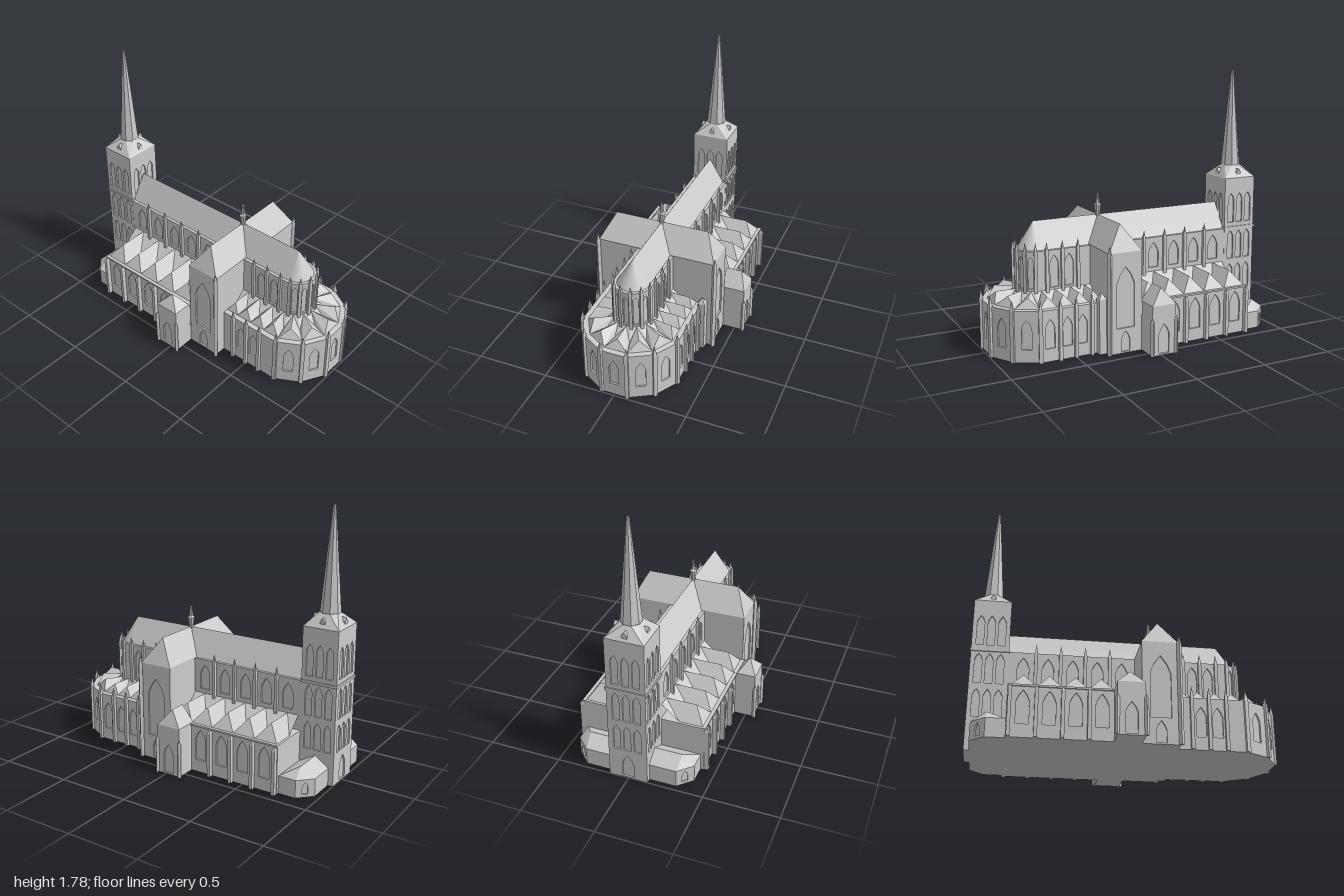
import * as THREE from 'three';

const flat = new THREE.MeshStandardMaterial({ color: 0xcccccc, flatShading: true, side: THREE.DoubleSide });
const smooth = new THREE.MeshStandardMaterial({ color: 0xcccccc, side: THREE.DoubleSide });
const RECESS = 0.012;
const both = [1, -1];

function add(parent, name, geo, x = 0, y = 0, z = 0, ry = 0, mat = flat) {
  const m = new THREE.Mesh(geo, mat);
  m.name = name;
  m.position.set(x, y, z);
  m.rotation.y = ry;
  parent.add(m);
  return m;
}

function group(parent, name) {
  const g = new THREE.Group();
  g.name = name;
  parent.add(g);
  return g;
}

// Roof faces from polygons of [x, y, z], all turned to look upward
function roof(parent, name, polys) {
  const pos = [];
  for (const p of polys) {
    for (let i = 1; i < p.length - 1; i++) {
      const [a, b, c] = [p[0], p[i], p[i + 1]];
      const ny = (b[2] - a[2]) * (c[0] - a[0]) - (b[0] - a[0]) * (c[2] - a[2]);
      pos.push(...a, ...(ny > 0 ? [...b, ...c] : [...c, ...b]));
    }
  }
  const g = new THREE.BufferGeometry();
  g.setAttribute('position', new THREE.Float32BufferAttribute(pos, 3));
  g.computeVertexNormals();
  return add(parent, name, g);
}

// Pointed window outline
function lancet(u, w, y0, y1) {
  const p = new THREE.Path(), h = w / 2, spring = y1 - w * 0.9;
  p.moveTo(u - h, y0);
  p.lineTo(u - h, spring);
  p.lineTo(u - h * 0.62, spring + w * 0.48);
  p.lineTo(u, y1);
  p.lineTo(u + h * 0.62, spring + w * 0.48);
  p.lineTo(u + h, spring);
  p.lineTo(u + h, y0);
  p.closePath();
  return p;
}

// Closed ring of walls; each window [x, z, width, y0, y1] is cut into the wall it lies on
function building(parent, name, pts, y0, y1, windows = []) {
  const g = group(parent, name);
  pts.forEach(([ax, az], i) => {
    const [bx, bz] = pts[(i + 1) % pts.length];
    const len = Math.hypot(bx - ax, bz - az), dx = (bx - ax) / len, dz = (bz - az) / len;
    const s = new THREE.Shape([[0, y0], [len, y0], [len, y1], [0, y1]].map(p => new THREE.Vector2(...p)));
    for (const [x, z, w, lo, hi] of windows) {
      const u = (x - ax) * dx + (z - az) * dz, off = (x - ax) * -dz + (z - az) * dx;
      if (Math.abs(off) < 0.01 && u > w / 2 && u < len - w / 2) s.holes.push(lancet(u, w, lo, hi));
    }
    const ry = Math.atan2(-dz, dx);
    const wall = add(g, 'wall', new THREE.ExtrudeGeometry(s, { depth: RECESS, bevelEnabled: false }), ax, 0, az, ry);
    wall.translateZ(-RECESS);
    const pane = add(g, 'windowPanes', new THREE.PlaneGeometry(len, y1 - y0), ax, 0, az, ry);
    pane.translateX(len / 2).translateY((y0 + y1) / 2).translateZ(-RECESS + 0.001);
  });
  const cap = new THREE.ShapeGeometry(new THREE.Shape(pts.map(([x, z]) => new THREE.Vector2(x, -z)))).rotateX(-Math.PI / 2);
  add(g, 'wallTop', cap, 0, y1);
  add(g, 'floor', cap, 0, y0);
  return g;
}

const rect = (x0, x1, z) => [[x0, z], [x1, z], [x1, -z], [x0, -z]];

// Square shaft with a pointed cap
function pinnacle(parent, name, x, z, y0, y1, size, ry = 0, depth = size, tip = 0.07) {
  const g = group(parent, name), h = y1 - tip - y0;
  add(g, 'shaft', new THREE.BoxGeometry(size, h, depth), 0, h / 2);
  const cone = add(g, 'cap', new THREE.ConeGeometry(Math.SQRT1_2, tip, 4).rotateY(Math.PI / 4), 0, h + tip / 2);
  cone.scale.set(size, 1, depth);
  g.position.set(x, y0, z);
  g.rotation.y = ry;
}

// One hipped bay between outer corners o and inner corners i, with a saddle against the inner wall
function bayRoof(parent, name, o0, o1, i0, i1, y, h, hip) {
  const mix = (a, b, t) => [a[0] + (b[0] - a[0]) * t, a[1] + (b[1] - a[1]) * t];
  const at = (p, k) => [p[0], y + h * k, p[1]];
  const back = mix(i0, i1, 0.5), front = mix(mix(o0, o1, 0.5), back, hip);
  const polys = [[at(o0, 0), at(o1, 0), at(front, 1)]];
  for (const [o, i] of [[o0, i0], [o1, i1]]) {
    const valley = at(mix(i, o, 0.42), 0);
    polys.push([at(o, 0), at(front, 1), at(back, 1), valley], [valley, at(back, 1), at(i, 1)]);
  }
  roof(parent, name, polys);
}

// Hipped roof with its ridge along z
function hipRoof(parent, name, x0, x1, z0, z1, r0, r1, y, top) {
  const c = (x0 + x1) / 2, A = [x0, y, z0], B = [x1, y, z0], C = [x1, y, z1], D = [x0, y, z1];
  const R = [c, top, r0], S = [c, top, r1];
  roof(parent, name, [[A, B, R], [C, D, S], [B, C, S, R], [D, A, R, S]]);
}

function buildTower(root) {
  const g = group(root, 'tower'), cx = -0.8775, hx = 0.1225, hz = 0.13, wins = [];
  for (const [lo, hi] of [[0.22, 0.405], [0.445, 0.65], [0.71, 0.92]])
    for (const o of [-0.07, 0, 0.07])
      for (const s of both) wins.push([cx + o, s * hz, 0.048, lo, hi], [cx + s * hx, o, 0.048, lo, hi]);
  wins.push([cx - hx, 0, 0.08, 0.01, 0.18]);
  building(g, 'towerWalls', rect(cx - hx, cx + hx, hz), 0, 1.03, wins);
  add(g, 'cornice', new THREE.BoxGeometry(0.255, 0.018, 0.275), cx, 0.672);
  // Square to octagon broach
  const oct = k => [cx + 0.068 * Math.cos((k - 0.5) * Math.PI / 4), 1.11, 0.068 * Math.sin((k - 0.5) * Math.PI / 4)];
  const corner = k => [cx + hx * [1, -1, -1, 1][k % 4], 1.03, hz * [1, 1, -1, -1][k % 4]];
  const polys = [];
  for (let k = 0; k < 4; k++)
    polys.push([oct(2 * k), oct(2 * k + 1), corner(k), corner(k + 3)], [oct(2 * k + 1), oct(2 * k + 2), corner(k)]);
  roof(g, 'broach', polys);
  add(g, 'spire', new THREE.CylinderGeometry(0.01, 0.067, 0.67, 8).rotateY(Math.PI / 8), cx, 1.445);
  const gable = new THREE.Shape([[-0.018, 1.04], [0.018, 1.04], [0.018, 1.065], [0, 1.09], [-0.018, 1.065]].map(p => new THREE.Vector2(...p)));
  const dormer = new THREE.ExtrudeGeometry(gable, { depth: 0.055, bevelEnabled: false }).translate(0, 0, 0.055);
  for (let k = 0; k < 4; k++) add(g, 'dormer', dormer, cx, 0, 0, k * Math.PI / 2);
}

export function createModel() {
  const root = new THREE.Group();
  root.name = 'cathedral';
  buildTower(root);

  // Low annex wrapped around the tower
  const chamfer = both.map(s => [-0.92, s * 0.355, 0.04, 0.02, 0.1]);
  building(root, 'annex', [[-0.875, 0.4], [-0.755, 0.4], [-0.755, -0.4], [-0.875, -0.4], [-0.965, -0.31], [-0.965, 0.31]], 0, 0.12, chamfer);
  for (const s of both) {
    const p = (x, y, z) => [x, y, z * s], end = p(-0.87, 0.185, 0.32), ridge = p(-0.87, 0.185, 0);
    const w = p(-0.965, 0.12, 0.31), c = p(-0.875, 0.12, 0.4), e = p(-0.755, 0.12, 0.4);
    roof(root, 'annexRoof', [[p(-0.965, 0.12, 0), w, end, ridge], [w, c, end], [c, e, end], [e, p(-0.755, 0.12, 0), ridge, end]]);
  }

  // Nave and choir clerestory with polygonal apse
  const cx = 0.65, bays = [-0.66, -0.5, -0.34, -0.18, -0.02], choirX = [0.3, 0.39, 0.5, 0.61, 0.74];
  const arc = r => [75, 45, 15, -15, -45, -75].map(d => [cx + r * Math.cos(d * Math.PI / 180), r * Math.sin(d * Math.PI / 180)]);
  const mid = (a, b) => [(a[0] + b[0]) / 2, (a[1] + b[1]) / 2];
  const inner = arc(0.133), outer = arc(0.347), zi = inner[0][1], zo = outer[0][1];
  const high = [], low = [], aisle = [];
  for (const s of both) {
    for (const x of bays) {
      high.push([x, s * zi, 0.075, 0.46, 0.635]);
      aisle.push([x, s * 0.42, 0.08, 0.085, 0.3]);
    }
    for (const x of [0.45, 0.555]) {
      high.push([x, s * zi, 0.06, 0.42, 0.635]);
      low.push([x, s * zo, 0.065, 0.085, 0.28]);
    }
  }
  low.push([0.675, -zo, 0.065, 0.085, 0.28]);
  for (let i = 0; i < 5; i++) {
    high.push([...mid(inner[i], inner[i + 1]), 0.035, 0.42, 0.635]);
    low.push([...mid(outer[i], outer[i + 1]), 0.065, 0.085, 0.28]);
  }
  building(root, 'clerestory', [[-0.755, zi], ...inner, [-0.755, -zi]], 0.3, 0.67, high);
  for (const s of both)
    roof(root, 'naveRoof', [[[-0.755, 0.67, s * 0.108], [cx, 0.67, s * 0.108], [cx, 0.845, 0], [-0.755, 0.845, 0]]]);
  add(root, 'apseRoof', new THREE.ConeGeometry(0.108, 0.175, 32, 1, true, 0, Math.PI), cx, 0.7575, 0, 0, smooth);

  // Nave aisles with a hipped roof over each bay
  building(root, 'aisles', rect(-0.755, 0.065, 0.42), 0, 0.33, aisle);
  for (const s of both) {
    for (const x of bays) {
      bayRoof(root, 'aisleBayRoof', [x - 0.08, s * 0.405], [x + 0.08, s * 0.405], [x - 0.08, s * zi], [x + 0.08, s * zi], 0.331, 0.1, 0.25);
      if (x < -0.1) pinnacle(root, 'aisleButtress', x - 0.08, s * 0.433, 0, 0.33, 0.022, 0, 0.035, 0.03);
      if (x > -0.6) pinnacle(root, 'clerestoryPinnacle', x - 0.08, s * 0.138, 0.33, 0.73, 0.022);
    }
    add(root, 'aisleEave', new THREE.BoxGeometry(0.82, 0.012, 0.022), -0.345, 0.327, s * 0.418);
  }

  // Transept with hipped ends
  const gates = both.flatMap(s => [[0.1825, s * 0.415, 0.13, 0.17, 0.58], [0.1825, s * 0.415, 0.065, 0.01, 0.15]]);
  building(root, 'transept', rect(0.065, 0.3, 0.415), 0, 0.675, gates);
  hipRoof(root, 'transeptRoof', 0.065, 0.3, 0.415, -0.415, 0.33, -0.33, 0.675, 0.845);
  for (const s of both) pinnacle(root, 'transeptPinnacle', 0.302, s * 0.423, 0, 0.73, 0.024, Math.PI / 4);
  const fleche = [[0.014, 0.8], [0.016, 0.85], [0.025, 0.91], [0.016, 0.92], [0.009, 0.975], [0.009, 0.99], [0, 0.992]];
  add(root, 'crossingTurret', new THREE.LatheGeometry(fleche.map(p => new THREE.Vector2(...p)), 8), 0.1825);

  // Porches, pyramid roof on the front and ridged roof on the back
  for (const s of both) {
    const z0 = s * 0.4, z1 = s * 0.56, g = group(root, 'porch');
    const [za, zb] = s > 0 ? [z1, z0] : [z0, z1];
    building(g, 'porchWalls', [[-0.108, za], [0.064, za], [0.064, zb], [-0.108, zb]], 0, 0.335, [[-0.022, z1, 0.075, 0.01, 0.21]]);
    if (s > 0) hipRoof(g, 'porchRoof', -0.108, 0.064, z1, 0.43, 0.495, 0.495, 0.335, 0.425);
    else hipRoof(g, 'porchRoof', -0.108, 0.064, z1, -0.4, -0.51, -0.4, 0.335, 0.44);
    for (const x of [-0.11, 0.066]) pinnacle(g, 'porchButtress', x, s * 0.562, 0, 0.26, 0.02, Math.PI / 4, 0.02, 0.03);
  }

  // Choir aisle and ambulatory
  building(root, 'ambulatory', [[0.3, zo], ...outer, [0.3, -zo]], 0, 0.34, low);
  const roofEdge = arc(0.31), zr = roofEdge[0][1];
  for (const s of both) {
    for (let i = 0; i < 4; i++) {
      const [a, b] = [choirX[i], choirX[i + 1]];
      const last = i === 3;
      bayRoof(root, 'choirBayRoof', [a, s * zr], [last ? roofEdge[0][0] : b, s * zr], [a, s * zi], [last ? inner[0][0] : b, s * zi], 0.341, 0.065, 0.2);
    }
    for (const x of choirX.slice(1, 4)) {
      pinnacle(root, 'choirButtress', x, s * (zo + 0.012), 0, 0.41, 0.022);
      pinnacle(root, 'choirPinnacle', x, s * (zi + 0.006), 0.34, 0.73, 0.022);
    }
  }
  for (let i = 0; i < 5; i++)
    bayRoof(root, 'ambulatoryBayRoof', roofEdge[i], roofEdge[i + 1], inner[i], inner[i + 1], 0.341, 0.065, 0.2);
  outer.forEach(([x, z], i) => {
    const ry = Math.atan2(-z, x - cx);
    pinnacle(root, 'ambulatoryButtress', x, z, 0, 0.41, 0.026, ry);
    pinnacle(root, 'apsePinnacle', inner[i][0], inner[i][1], 0.34, 0.73, 0.022, ry);
  });
  pinnacle(root, 'stairTurret', 0.325, -0.35, 0, 0.41, 0.05, 0, 0.05, 0.04);
  return root;
}
